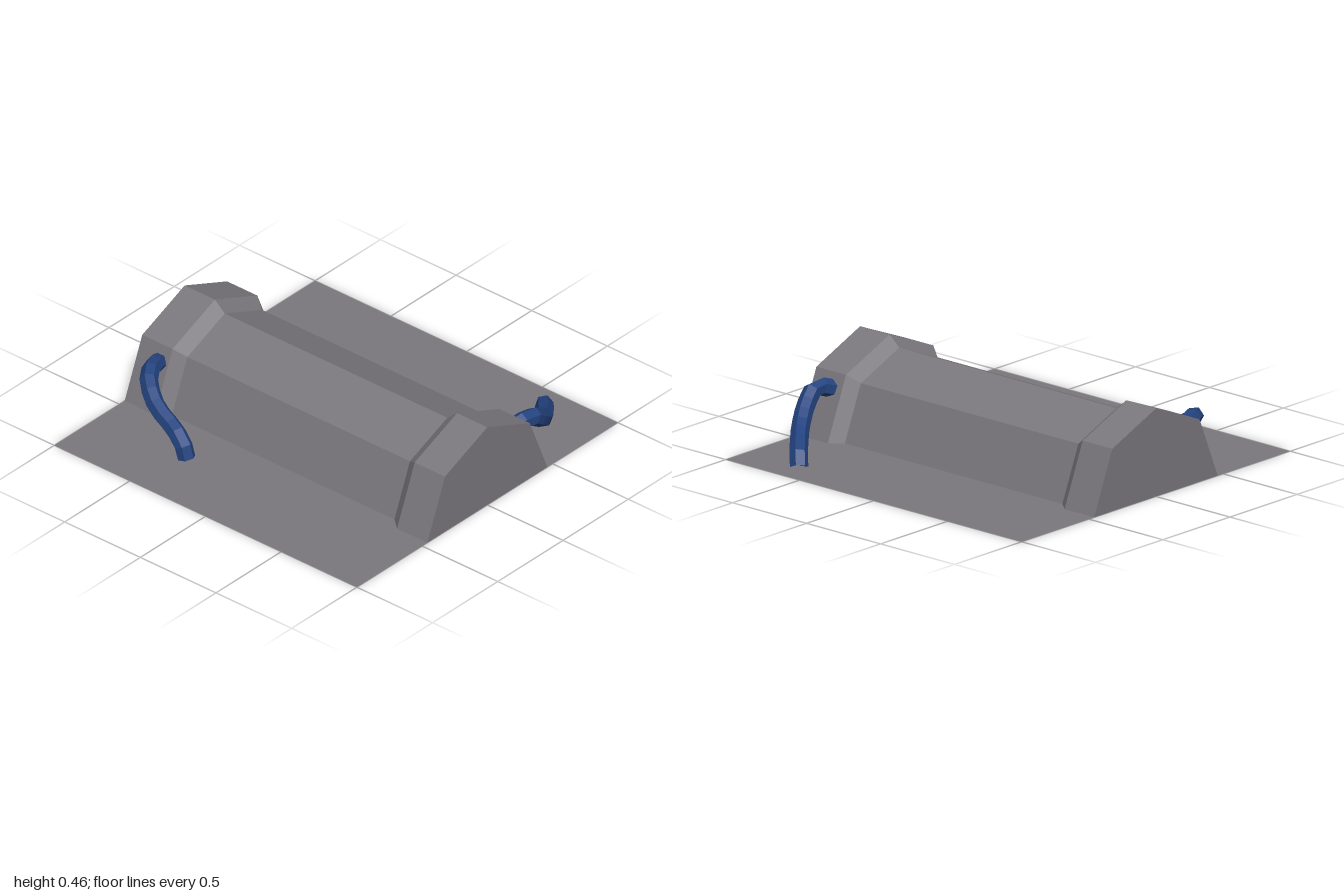
import * as THREE from 'three';

const stone = new THREE.MeshStandardMaterial({ color: 0x7a777d, flatShading: true });
stone.name = 'grey stone';
stone.side = THREE.DoubleSide;
const blue = new THREE.MeshStandardMaterial({ color: 0x24437f, flatShading: true });
blue.name = 'blue cable';

// Ridged hull: one five-point section, scaled and lofted from front to back
function hullGeometry() {
  const section = [[0.46, 0], [0.325, 0.328], [0, 0.463], [-0.325, 0.328], [-0.46, 0]];
  const stations = [[1, 1], [0.8, 1], [0.735, 0.88], [-0.735, 0.88], [-0.8, 1], [-1, 1]];
  const n = section.length, last = (stations.length - 1) * n;
  const positions = [], index = [];
  for (const [z, s] of stations) for (const [x, y] of section) positions.push(x * s, y * s, z);
  for (let i = 0; i < stations.length - 1; i++) {
    for (let j = 0; j < n; j++) {
      const k = (j + 1) % n;
      const a = i * n + j, b = i * n + k, c = a + n, d = b + n;
      index.push(a, c, b, b, c, d);
    }
  }
  // End walls
  for (let j = 1; j < n - 1; j++) {
    index.push(0, j, j + 1);
    index.push(last, last + j + 1, last + j);
  }
  const g = new THREE.BufferGeometry();
  g.setAttribute('position', new THREE.Float32BufferAttribute(positions, 3));
  g.setIndex(index);
  return g;
}

// Hexagonal cable whose lower end is cut flat at the ground
function cable(name, points) {
  const sides = 6;
  const curve = new THREE.CatmullRomCurve3(points.map(p => new THREE.Vector3(...p)));
  const g = new THREE.TubeGeometry(curve, 10, 0.047, sides, false);
  const p = g.attributes.position;
  for (let i = 0; i < p.count; i++) p.setY(i, Math.max(p.getY(i), 0));
  // Close both ends
  const index = Array.from(g.index.array), end = p.count - sides - 1;
  for (let j = 1; j < sides - 1; j++) {
    index.push(0, j, j + 1);
    index.push(end, end + j + 1, end + j);
  }
  g.setIndex(index);
  const mesh = new THREE.Mesh(g, blue);
  mesh.name = name;
  return mesh;
}

export function createModel() {
  const model = new THREE.Group();
  model.name = 'ridgedConduit';

  // Ground sheet
  const ground = new THREE.Mesh(new THREE.PlaneGeometry(2, 2).rotateX(-Math.PI / 2), stone);
  ground.name = 'groundSheet';
  model.add(ground);

  const hull = new THREE.Mesh(hullGeometry(), stone);
  hull.name = 'ridgedHull';
  model.add(hull);

  // Cables leaving the flared ends
  model.add(cable('frontLeftCable', [
    [0.34, 0.245, 0.875], [0.44, 0.268, 0.9], [0.53, 0.21, 0.88], [0.64, 0.13, 0.82],
    [0.74, 0.085, 0.74], [0.82, 0.06, 0.67], [0.845, 0, 0.645],
  ]));
  model.add(cable('backRightCable', [
    [-0.34, 0.235, -0.865], [-0.44, 0.267, -0.835], [-0.53, 0.25, -0.78], [-0.6, 0.18, -0.67],
    [-0.625, 0.12, -0.54], [-0.655, 0.08, -0.45], [-0.658, 0, -0.42],
  ]));
  return model;
}
